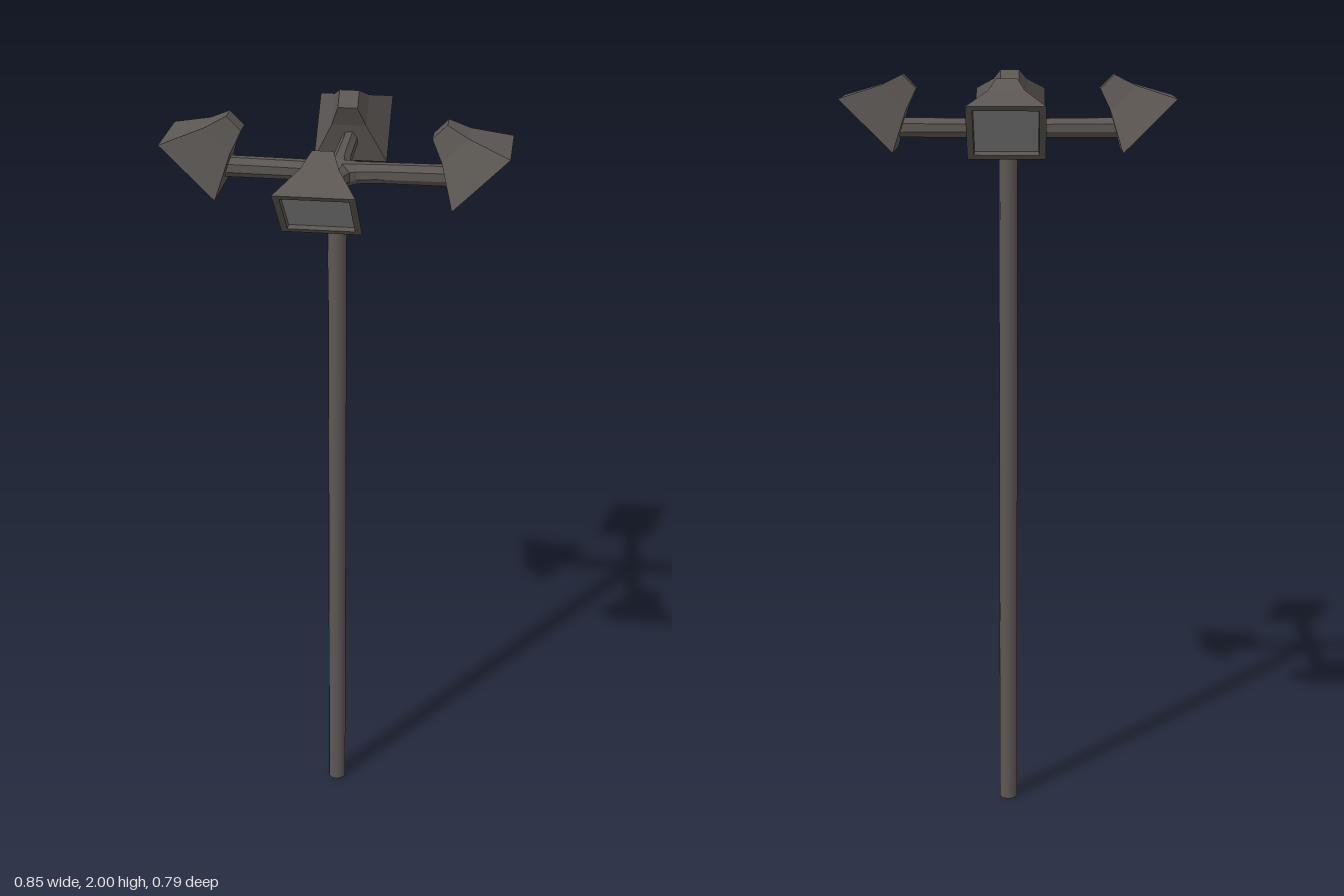
import * as THREE from 'three';

// Polygon ring around the z axis; hw and hh are the half width and half height to the flats
function ring(sides, z, hw, hh = hw, y = 0) {
  const k = 1 / Math.cos(Math.PI / sides);
  return Array.from({ length: sides }, (_, j) => {
    const a = ((j + 0.5) / sides) * Math.PI * 2;
    return new THREE.Vector3(Math.cos(a) * hw * k, y + Math.sin(a) * hh * k, z);
  });
}

// Skin of quads through a list of rings, with a cap on the first ring
function loft(rings) {
  const pts = [];
  const n = rings[0].length;
  for (let i = 0; i < rings.length - 1; i++) {
    for (let j = 0; j < n; j++) {
      const k = (j + 1) % n;
      const a = rings[i][j], b = rings[i][k], c = rings[i + 1][k], d = rings[i + 1][j];
      pts.push(a, b, c, a, c, d);
    }
  }
  for (let j = 1; j < n - 1; j++) pts.push(rings[0][0], rings[0][j + 1], rings[0][j]);
  const geo = new THREE.BufferGeometry().setFromPoints(pts);
  geo.computeVertexNormals();
  return geo;
}

export function createModel() {
  const model = new THREE.Group();
  model.name = 'floodlightPole';
  const metal = new THREE.MeshStandardMaterial({ color: 0x5c5753 });
  const flatMetal = new THREE.MeshStandardMaterial({ color: 0x5c5753, flatShading: true });
  const glass = new THREE.MeshStandardMaterial({ color: 0x8c8c8c });
  const poleZ = -0.008;

  // Pole
  const pole = new THREE.Mesh(new THREE.CylinderGeometry(0.024, 0.024, 1.86, 12), metal);
  pole.name = 'pole';
  pole.position.set(0, 0.93, poleZ);
  model.add(pole);

  // Lamp housing: small back, flared hood, rim and shallow recess
  const housingGeo = loft([
    ring(4, -0.15, 0.025),
    ring(4, -0.095, 0.044),
    ring(4, 0, 0.095),
    ring(4, 0, 0.079),
    ring(4, -0.01, 0.077),
  ]);
  const lensGeo = new THREE.PlaneGeometry(0.154, 0.154);

  // Four arms, each carrying a lamp tilted 45 degrees down
  const reaches = [0.327, 0.355, 0.327, 0.355];
  reaches.forEach((reach, i) => {
    const branch = new THREE.Group();
    branch.name = 'branch' + (i + 1);
    branch.position.set(0, 0, i % 2 ? -0.012 : -0.001);
    branch.rotation.y = (i * Math.PI) / 2;

    // Arm widens into the hub
    const shift = i % 2 ? 0 : (i === 0 ? -0.007 : 0.007);
    const arm = new THREE.Mesh(loft([
      ring(8, shift, 0.034, 0.028, 1.86),
      ring(8, shift + 0.03, 0.034, 0.028, 1.861),
      ring(8, shift + 0.05, 0.025, 0.025, 1.863),
      ring(8, shift + 0.1, 0.022, 0.024, 1.865),
      ring(8, reach - 0.07, 0.02, 0.025, 1.866),
    ]), flatMetal);
    arm.name = 'arm';
    branch.add(arm);

    const lamp = new THREE.Group();
    lamp.name = 'lamp';
    lamp.position.set(0, 1.875, reach + (i % 2 ? 0.001 : 0.003));
    lamp.rotation.x = Math.PI / 4;
    const housing = new THREE.Mesh(housingGeo, flatMetal);
    housing.name = 'lampHousing';
    const lens = new THREE.Mesh(lensGeo, glass);
    lens.name = 'lampLens';
    lens.position.z = -0.01;
    lamp.add(housing, lens);
    branch.add(lamp);
    model.add(branch);
  });

  return model;
}
